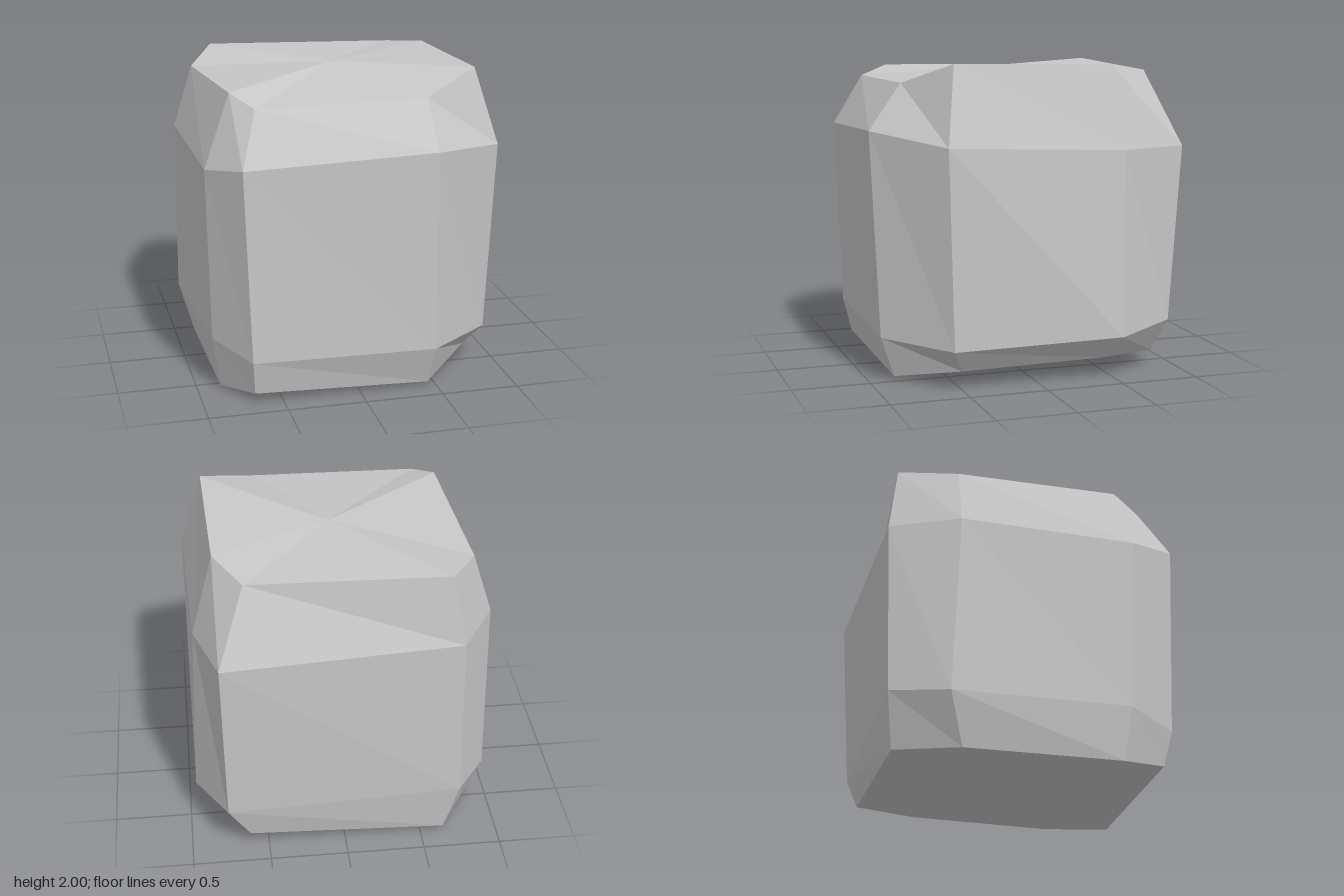
import * as THREE from 'three';

// Cross-sections from top to bottom; each has eight corners [x, y, z],
// counter-clockwise from the back of the -x side.
const rings = [
  [[-0.83, 1.88, -0.49], [-0.76, 1.925, 0.57], [-0.64, 1.86, 0.77], [0.43, 1.87, 0.77],
    [0.81, 2.0, 0.54], [0.78, 1.98, -0.49], [0.61, 1.935, -0.78], [-0.64, 1.955, -0.85]],
  [[-0.955, 1.48, -0.49], [-0.93, 1.47, 0.63], [-0.75, 1.53, 0.945], [0.45, 1.58, 0.98],
    [0.955, 1.51, 0.615], [0.92, 1.46, -0.53], [0.78, 1.46, -0.98], [-0.72, 1.5, -0.91]],
  [[-0.955, 0.32, -0.54], [-0.9, 0.35, 0.59], [-0.7, 0.29, 0.91], [0.475, 0.28, 0.925],
    [0.91, 0.26, 0.57], [0.955, 0.285, -0.52], [0.76, 0.33, -0.91], [-0.74, 0.37, -0.88]],
  [[-0.865, 0.0, -0.45], [-0.85, 0.01, 0.55], [-0.68, 0.065, 0.855], [0.45, 0.02, 0.835],
    [0.8, 0.11, 0.49], [0.82, 0.13, -0.43], [0.62, 0.1, -0.855], [-0.65, 0.03, -0.835]],
];
const topCentre = [0.03, 1.955, -0.075];
const bottomCentre = [0, 0.065, 0];

function rockGeometry() {
  const positions = [];
  const tri = (a, b, c) => positions.push(...a, ...b, ...c);
  const sides = rings[0].length;
  const last = rings.length - 1;
  for (let i = 0; i < sides; i++) {
    const j = (i + 1) % sides;
    // Fans closing the top and the underside
    tri(topCentre, rings[0][i], rings[0][j]);
    tri(bottomCentre, rings[last][j], rings[last][i]);
    // Bands between neighbouring cross-sections
    for (let r = 0; r < last; r++) {
      const upper = rings[r], lower = rings[r + 1];
      tri(upper[i], lower[i], lower[j]);
      tri(upper[i], lower[j], upper[j]);
    }
  }
  const geometry = new THREE.BufferGeometry();
  geometry.setAttribute('position', new THREE.Float32BufferAttribute(positions, 3));
  geometry.computeVertexNormals(); // unshared corners give flat facets
  return geometry;
}

export function createModel() {
  const stone = new THREE.MeshStandardMaterial({ color: 0xc8c8c8, flatShading: true });
  stone.name = 'pale stone grey';

  const rock = new THREE.Mesh(rockGeometry(), stone);
  rock.name = 'rock';

  const model = new THREE.Group();
  model.name = 'boulder';
  model.add(rock);
  return model;
}
